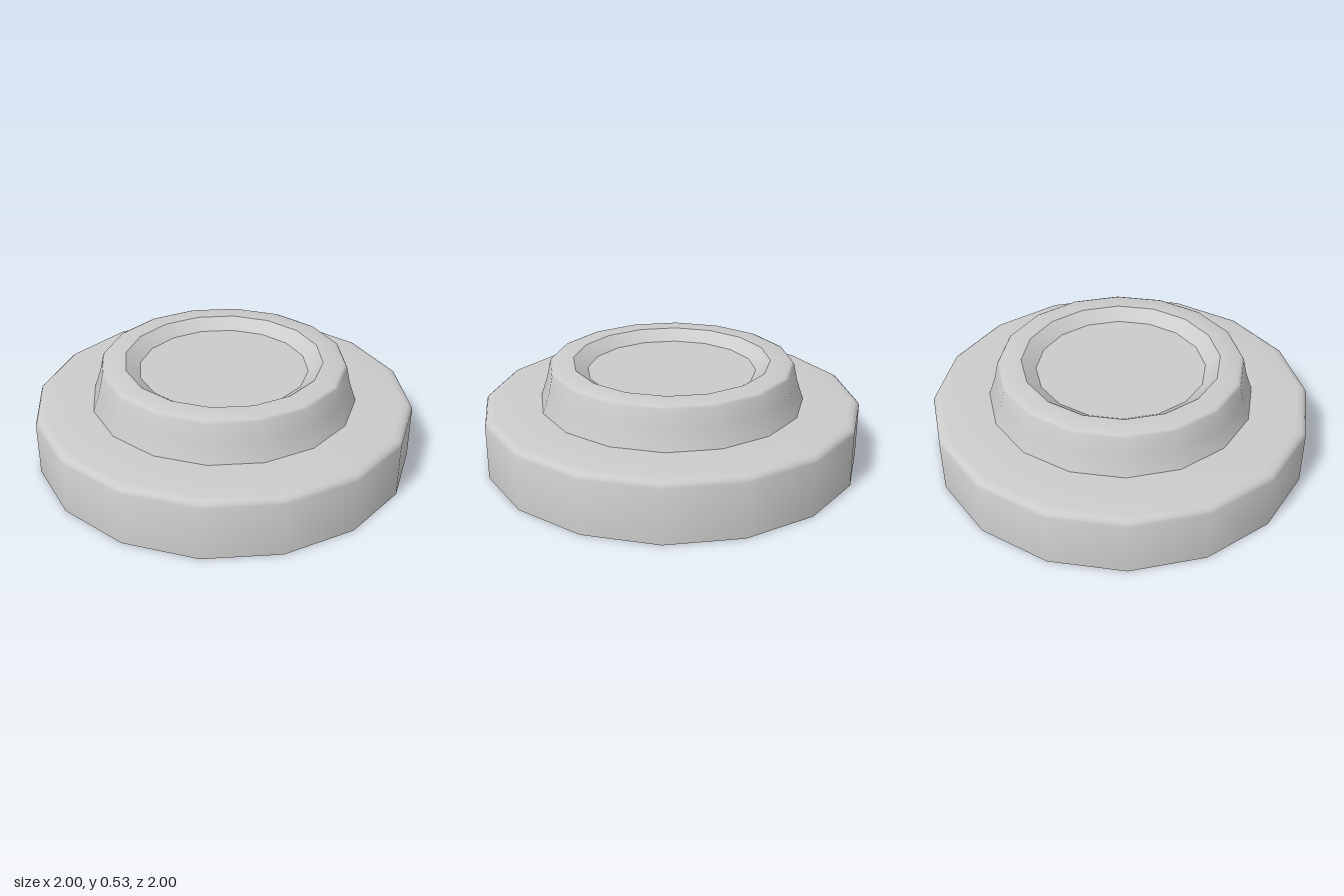
import * as THREE from 'three';
import { toCreasedNormals } from 'three/addons/utils/BufferGeometryUtils.js';

const SIDES = 16;

// Turns a [radius, height] profile into a named sixteen-sided part
function turnedPart(name, profile, material) {
  const points = profile.map(([r, y]) => new THREE.Vector2(r, y));
  const geometry = toCreasedNormals(new THREE.LatheGeometry(points, SIDES), Math.PI / 5);
  const mesh = new THREE.Mesh(geometry, material);
  mesh.name = name;
  return mesh;
}

export function createModel() {
  const group = new THREE.Group();
  group.name = 'steppedRoundBase';
  const material = new THREE.MeshStandardMaterial({ color: 0xcccccc, side: THREE.DoubleSide });

  // Wide disc with a softly bevelled upper rim
  group.add(turnedPart('baseDisc', [
    [0, 0], [1, 0], [1, 0.285], [0.993, 0.3], [0.978, 0.312], [0.95, 0.318], [0.7, 0.318],
  ], material));

  // Raised collar, flaring gently towards its foot
  group.add(turnedPart('collar', [
    [0.7, 0.318], [0.665, 0.42], [0.645, 0.51], [0.638, 0.522], [0.62, 0.53], [0.52, 0.53],
  ], material));

  // Shallow dish with a sloping wall and flat floor
  group.add(turnedPart('recess', [[0.52, 0.53], [0.445, 0.475], [0, 0.475]], material));

  return group;
}
